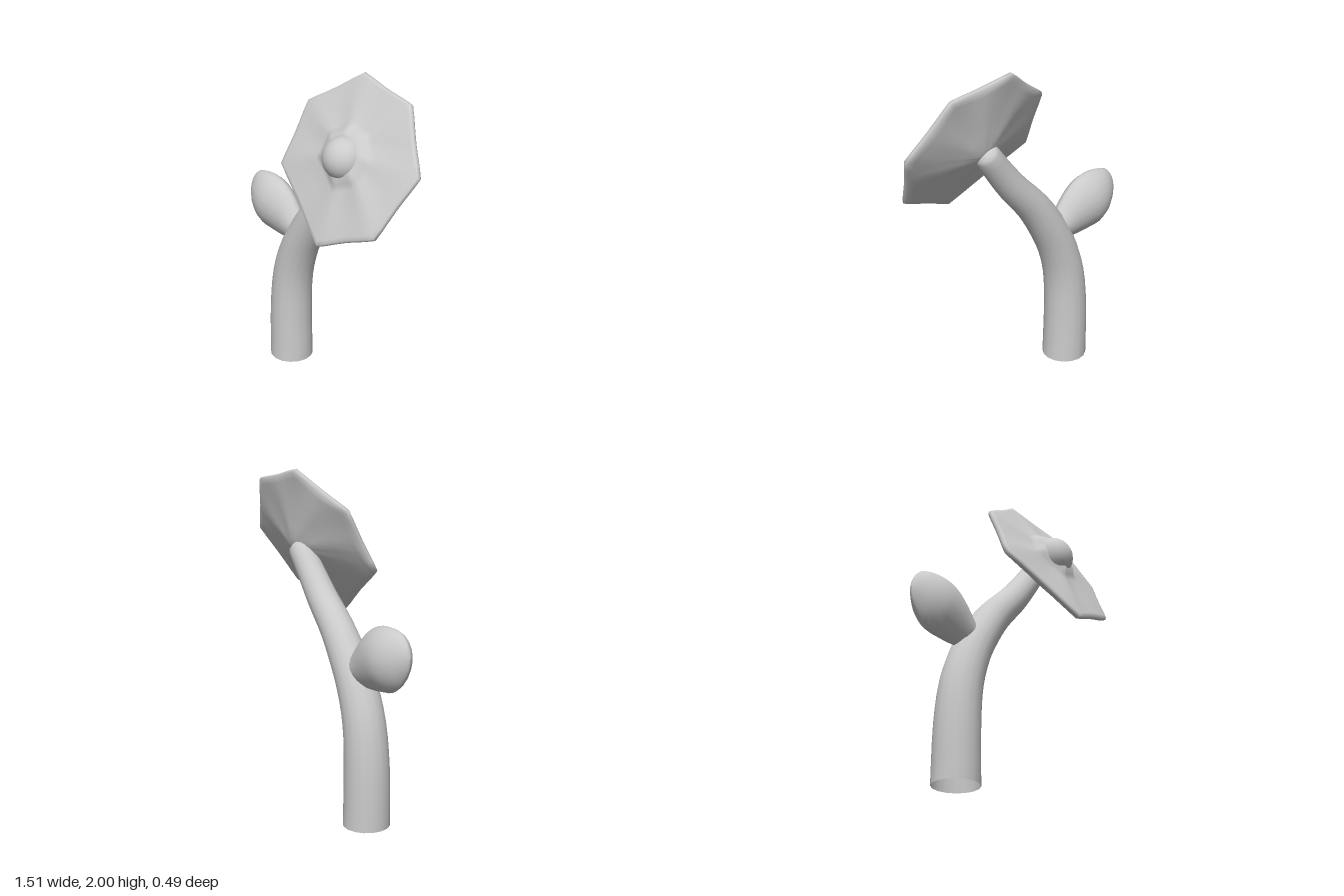
import * as THREE from 'three';

const V = (x, y, z) => new THREE.Vector3(x, y, z);

// Skin a list of closed rings (counter-clockwise about the direction of travel)
function loft(name, rings, material) {
  const n = rings[0].length, index = [];
  for (let i = 0; i < rings.length - 1; i++) {
    for (let j = 0; j < n; j++) {
      const k = (j + 1) % n;
      const a = i * n + j, b = i * n + k, c = (i + 1) * n + k, d = (i + 1) * n + j;
      index.push(a, b, c, a, c, d);
    }
  }
  const geometry = new THREE.BufferGeometry().setFromPoints(rings.flat());
  geometry.setIndex(index);
  geometry.computeVertexNormals();
  const mesh = new THREE.Mesh(geometry, material);
  mesh.name = name;
  return mesh;
}

// Tapered, curved stem: open at the base, rounded at the top
function makeStem(material) {
  const stations = [ // x, y, z, radius
    [-0.385, 0, -0.106, 0.137], [-0.385, 0.35, -0.106, 0.132],
    [-0.36, 0.6, -0.106, 0.125], [-0.295, 0.8, -0.106, 0.118],
    [-0.2, 0.97, -0.106, 0.109], [-0.1, 1.11, -0.105, 0.1],
    [0.04, 1.26, -0.104, 0.09], [0.145, 1.39, -0.104, 0.082], [0.238, 1.515, -0.11, 0.075],
  ];
  const path = new THREE.CatmullRomCurve3(stations.map(([x, y, z]) => V(x, y, z)));
  const rings = [], sides = 16, steps = 24;
  const addRing = (p, dir, r) => {
    const u = V(-dir.y, dir.x, 0).normalize();
    rings.push(Array.from({ length: sides }, (_, j) => {
      const t = (j / sides) * Math.PI * 2;
      return p.clone().addScaledVector(u, r * Math.cos(t)).add(V(0, 0, r * Math.sin(t)));
    }));
  };
  for (let i = 0; i <= steps; i++) {
    const t = i / steps, s = t * (stations.length - 1);
    const k = Math.min(Math.floor(s), stations.length - 2);
    const r = THREE.MathUtils.lerp(stations[k][3], stations[k + 1][3], s - k);
    addRing(path.getPoint(t), path.getTangent(t), r);
  }
  // rounded end
  const end = path.getPoint(1), dir = path.getTangent(1);
  for (const a of [0.5, 1, 1.35, 1.57]) {
    addRing(end.clone().addScaledVector(dir, 0.055 * Math.sin(a)), dir, 0.075 * Math.cos(a));
  }
  return loft('stem', rings, material);
}

// Lens-shaped leaf bud between an upper and a lower edge curve
function makeBud(material) {
  const sections = [ // upper x, y, lower x, y, half depth
    [-0.25, 0.98, -0.31, 0.88, 0.068], [-0.29, 1.015, -0.37, 0.825, 0.074],
    [-0.36, 1.105, -0.44, 0.817, 0.088], [-0.44, 1.17, -0.53, 0.825, 0.106],
    [-0.53, 1.2, -0.61, 0.838, 0.114], [-0.62, 1.2, -0.675, 0.88, 0.095],
    [-0.69, 1.18, -0.72, 0.94, 0.06], [-0.74, 1.125, -0.748, 1.0, 0.024],
    [-0.757, 1.06, -0.757, 1.055, 0.002],
  ];
  const upper = new THREE.CatmullRomCurve3(sections.map(([x, y, , , d]) => V(x, y, d)));
  const lower = new THREE.CatmullRomCurve3(sections.map(([, , x, y, d]) => V(x, y, d)));
  const rings = [], sides = 20, steps = 20;
  for (let i = 0; i <= steps; i++) {
    const a = upper.getPoint(i / steps), b = lower.getPoint(i / steps);
    rings.push(Array.from({ length: sides }, (_, j) => {
      const t = (j / sides) * Math.PI * 2, s = Math.sin(t);
      const p = a.clone().lerp(b, (1 + Math.cos(t)) / 2);
      return p.setZ(-0.11 + ((a.z + b.z) / 2) * s * Math.abs(s) ** 0.4);
    }));
  }
  return loft('leafBud', rings, material);
}

// Seven-cornered bloom: conical back, thin rim, shallow face rising to a collar
function makePetals(material) {
  const centre = V(0.27, 1.6, 0), normal = V(0.06, 0.51, 1).normalize();
  const corners = [
    V(0.755, 1.6, -0.05), V(0.545, 1.925, -0.185), V(0.15, 2.005, -0.21),
    V(-0.18, 1.79, -0.08), V(-0.217, 1.43, 0.1), V(0.265, 1.115, 0.245), V(0.635, 1.26, 0.155),
  ];
  const per = 6, rim = [];
  corners.forEach((p, i) => {
    const q = corners[(i + 1) % corners.length];
    for (let k = 0; k < per; k++) {
      const t = k / per;
      const dip = 1 - 0.015 * Math.sin(t * Math.PI) ** 2 - (k === 0 ? 0.004 : 0);
      rim.push(p.clone().lerp(q, t).sub(centre).multiplyScalar(dip));
    }
  });
  const profile = [ // fraction of the rim radius, offset along the normal, fold depth
    [0, -0.15, 0], [0.14, -0.143, 0], [0.3, -0.118, 0.004], [0.6, -0.073, 0.008],
    [0.9, -0.035, 0.006], [0.98, -0.026, 0], [1, -0.008, 0], [0.985, 0.006, 0],
    [0.94, 0.01, 0], [0.65, 0.022, 0.004], [0.42, 0.032, 0.003], [0.35, 0.045, 0],
    [0.27, 0.075, 0], [0.15, 0.08, 0], [0, 0.08, 0],
  ];
  const rings = profile.map(([f, h, fold]) => rim.map((p, j) =>
    centre.clone().addScaledVector(p, f)
      .addScaledVector(normal, h + fold * Math.cos((j / per) * Math.PI * 2))));
  return loft('petals', rings, material);
}

export function createModel() {
  const material = new THREE.MeshStandardMaterial({ color: 0xcccccc, side: THREE.DoubleSide });
  const group = new THREE.Group();
  group.name = 'flower';
  group.add(makeStem(material), makeBud(material), makePetals(material));

  // Round flower centre
  const heart = new THREE.Mesh(new THREE.SphereGeometry(0.125, 24, 16), material);
  heart.name = 'flowerCentre';
  heart.position.set(0.265, 1.592, 0.04);
  group.add(heart);
  return group;
}
